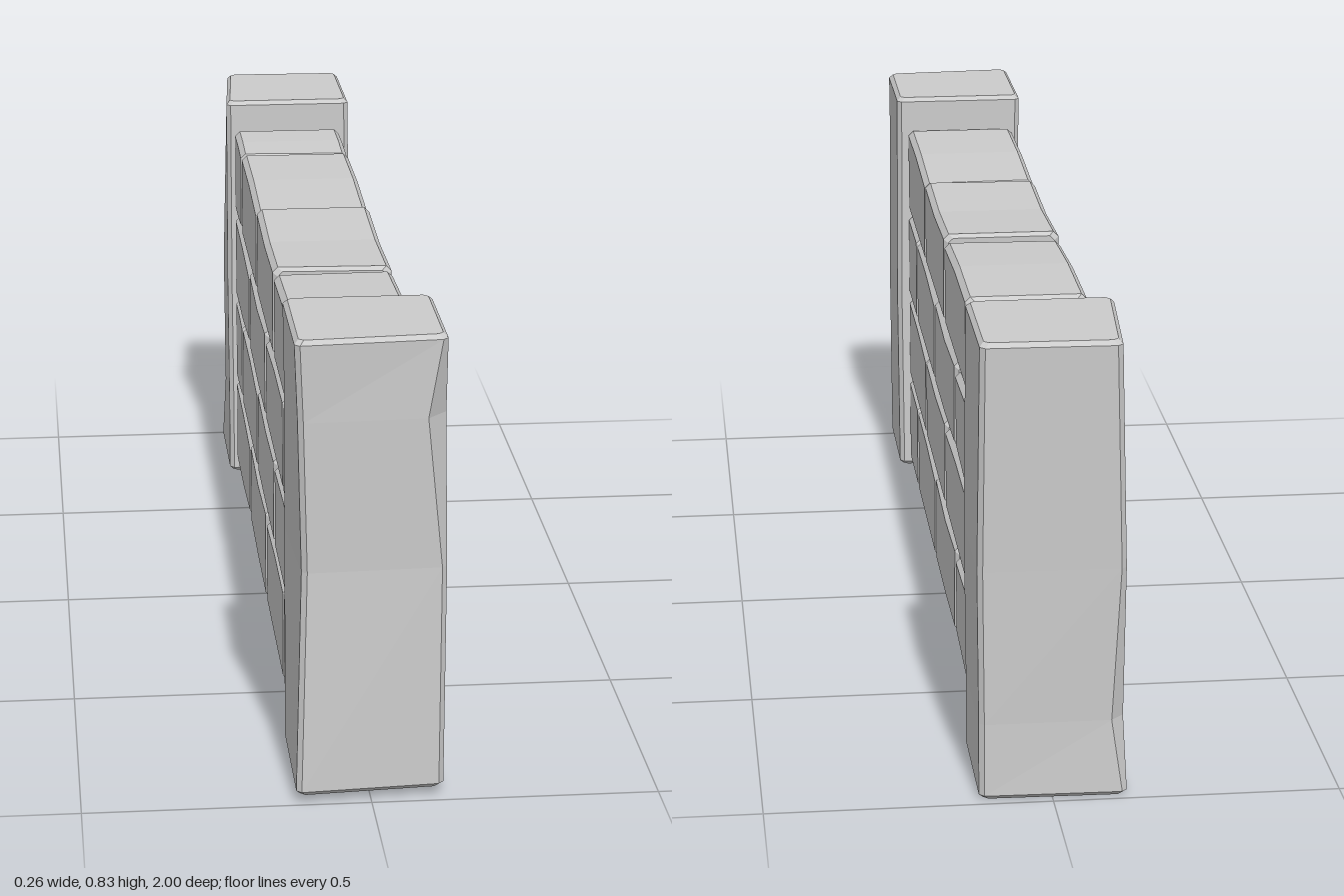
import * as THREE from 'three';

const material = new THREE.MeshStandardMaterial({ color: 0xcccccc, flatShading: true });

// Cut every corner of a four-sided loop, giving eight points.
function chamferLoop(corners, cuts) {
  const out = [];
  corners.forEach((p, i) => {
    for (const q of [corners[(i + 3) % 4], corners[(i + 1) % 4]]) {
      out.push(p.clone().add(q.clone().sub(p).setLength(cuts[i])));
    }
  });
  return out;
}

// Worn stone block: lofted four-sided sections with bevelled edges and ends.
// Each section is { corners: 4 Vector3, cuts: 4 numbers }.
function stone(name, sections, bevel) {
  const centre = (s) => s.corners.reduce((a, p) => a.add(p), new THREE.Vector3()).multiplyScalar(0.25);
  const last = sections.length - 1;
  const rings = sections.map((s) => chamferLoop(s.corners, s.cuts));
  const endRing = (i, j) => {
    const dir = centre(sections[j]).sub(centre(sections[i])).normalize();
    const mid = centre(sections[i]);
    const tip = rings[i].map((p) => {
      const v = p.clone().sub(mid);
      return p.clone().sub(v.clone().setLength(bevel * 1.3));
    });
    rings[i].forEach((p) => p.addScaledVector(dir, bevel));
    return tip;
  };
  const first = endRing(0, 1);
  const end = endRing(last, last - 1);
  const all = [first, ...rings, end];
  const pos = all.flat().flatMap((p) => p.toArray());
  const index = [];
  for (let i = 0; i < all.length - 1; i++) {
    for (let j = 0; j < 8; j++) {
      const a = i * 8 + j, b = i * 8 + ((j + 1) % 8);
      index.push(a, b, b + 8, a, b + 8, a + 8);
    }
  }
  const top = (all.length - 1) * 8;
  for (let j = 1; j < 7; j++) index.push(0, j + 1, j, top, top + j, top + j + 1);
  const geo = new THREE.BufferGeometry();
  geo.setAttribute('position', new THREE.Float32BufferAttribute(pos, 3));
  geo.setIndex(index);
  const flat = geo.toNonIndexed();
  flat.computeVertexNormals();
  const mesh = new THREE.Mesh(flat, material);
  mesh.name = name;
  return mesh;
}

// Post level: four corners as [x, z, cut], ordered back-right to back-left.
const level = (y, ...c) => ({
  corners: c.map(([x, z]) => new THREE.Vector3(x, y, z)),
  cuts: c.map((p) => p[2] ?? 0.009),
});

// Brick: z range, top and bottom wear at three stations, lean of both ends.
function brick(y0, y1, { z, top = [0, 0, 0], bottom = [0, 0, 0], lean = [0, 0], skew = [0, 0] }) {
  const stations = [0, 0.5, 1].map((t, i) => {
    const zc = z[0] + (z[1] - z[0]) * t;
    const ln = i === 1 ? 0 : lean[i / 2];
    const sk = i === 1 ? 0 : skew[i / 2];
    const b = y0 + bottom[i], h = y1 + top[i];
    return {
      corners: [
        new THREE.Vector3(-0.115, b, zc + ln + sk),
        new THREE.Vector3(0.105, b, zc + ln),
        new THREE.Vector3(0.105, h, zc),
        new THREE.Vector3(-0.115, h, zc + sk),
      ],
      cuts: [0.01, 0.01, 0.01, 0.01],
    };
  });
  return stone('brick', stations, 0.008);
}

// The two alternating courses.
const courseA = [
  { z: [-0.73, -0.53], top: [0, 0, -0.005], bottom: [0, 0, 0.006], lean: [0, -0.006], skew: [0, -0.012] },
  { z: [-0.522, -0.105], top: [0, 0, -0.012], lean: [0, -0.01], skew: [0, -0.006] },
  { z: [-0.099, 0.318], top: [0, -0.01, -0.004], lean: [0.006, 0], skew: [0, -0.008] },
  { z: [0.322, 0.737], top: [-0.01, 0, 0], lean: [0.007, 0], skew: [0.006, 0] },
];
const courseB = [
  { z: [-0.73, -0.315], top: [0, -0.004, -0.015], bottom: [0, 0, 0.013], lean: [0, -0.014] },
  { z: [-0.31, 0.104], top: [0, -0.012, 0], bottom: [0.008, 0, 0], lean: [0.008, 0] },
  { z: [0.116, 0.527], top: [-0.012, 0, 0], lean: [0.006, 0], skew: [0.006, 0] },
  { z: [0.54, 0.74] },
];

export function createModel() {
  const group = new THREE.Group();
  group.name = 'brickWall';

  // Front post with a chipped upper corner and a worn front edge
  group.add(stone('frontPost', [
    level(0.015, [-0.13, 0.74], [-0.13, 1.0], [0.127, 0.982], [0.127, 0.74]),
    level(0.42, [-0.13, 0.74], [-0.119, 0.985], [0.13, 0.975], [0.13, 0.74]),
    level(0.69, [-0.13, 0.74], [-0.126, 0.993], [0.128, 0.982, 0.034], [0.128, 0.74]),
    level(0.835, [-0.132, 0.74], [-0.132, 1.0], [0.127, 0.982], [0.127, 0.74]),
  ], 0.008));

  // Back post with a chipped lower corner
  group.add(stone('backPost', [
    level(0, [-0.13, -0.99], [-0.13, -0.737], [0.127, -0.737], [0.127, -0.985]),
    level(0.14, [-0.124, -0.983, 0.022], [-0.13, -0.737], [0.127, -0.737], [0.127, -0.983]),
    level(0.42, [-0.125, -0.99], [-0.132, -0.737], [0.13, -0.737], [0.13, -0.986]),
    level(0.827, [-0.113, -1.0], [-0.132, -0.737], [0.126, -0.737], [0.126, -0.995]),
  ], 0.008));

  // Four courses of bricks with open joints
  [[0.03, 0.213, courseB], [0.22, 0.396, courseA], [0.403, 0.58, courseB], [0.591, 0.766, courseA]]
    .forEach(([y0, y1, course], i) => {
      const row = new THREE.Group();
      row.name = `brickCourse${i + 1}`;
      course.forEach((b) => row.add(brick(y0, y1, b)));
      group.add(row);
    });

  return group;
}
